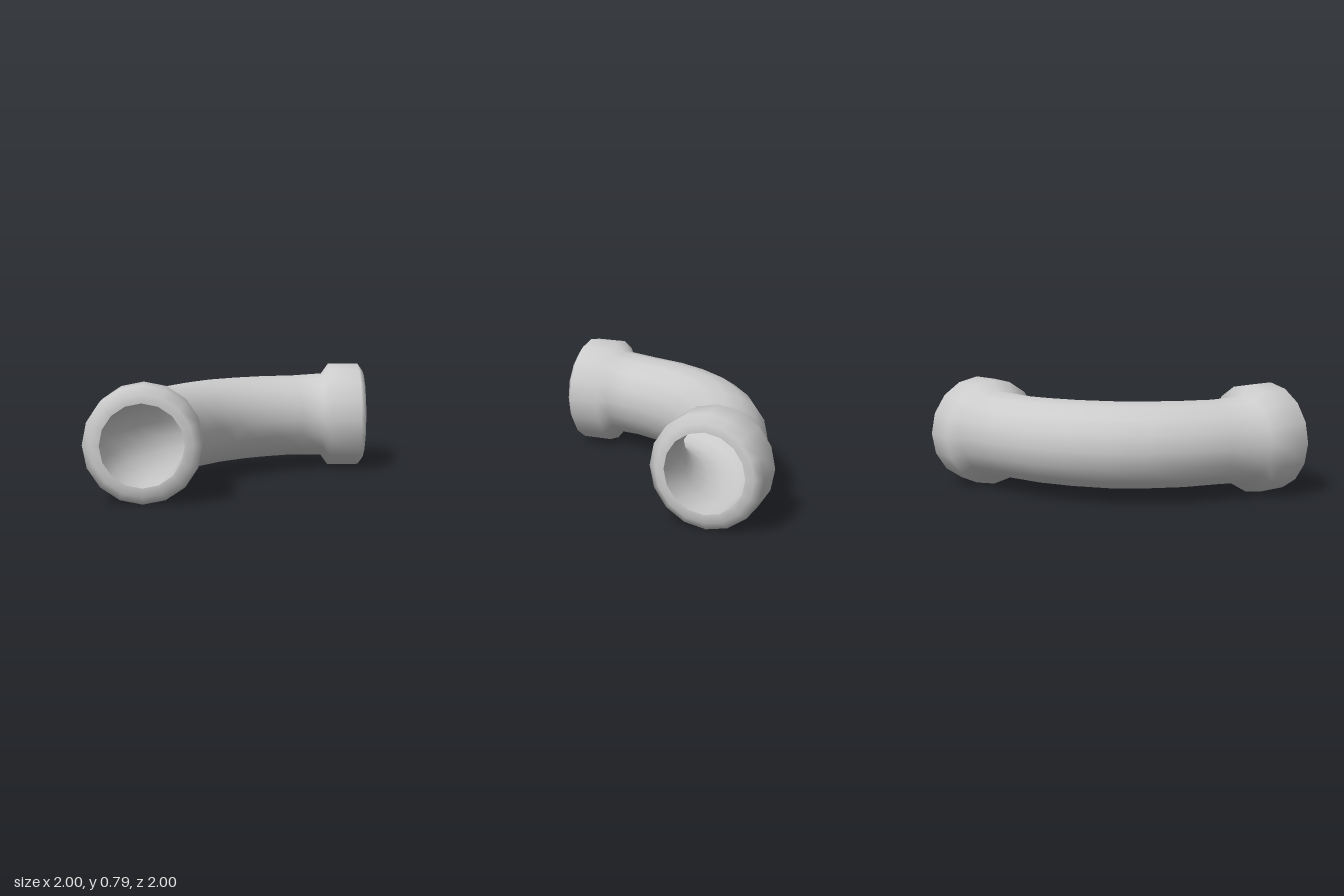
import * as THREE from 'three';

const SIDES = 16;
const AXIS = 0.605; // distance of each end's axis from the middle
const MID_Y = 0.395;

// Cross-sections [x, z, turn in degrees, radius], from the front end to mid-bend.
const collar = [
  [-AXIS, 0.995, 0, 0.28],
  [-AXIS, 0.995, 0, 0.34],
  [-AXIS, 0.955, 0, 0.395],
  [-AXIS, 0.73, 0, 0.395],
];
const bend = [
  [-0.6, 0.675, 0, 0.318],
  [-0.54, 0.45, 14.5, 0.308],
  [-0.455, 0.215, 26, 0.311],
  [-0.34, 0.01, 35, 0.312],
  [-0.185, -0.185, 45, 0.313],
];

// The second half mirrors the first across the diagonal plane x = z.
function mirrored(half) {
  const rest = half.slice(0, -1).reverse().map(([x, z, turn, r]) => [z, x, 90 - turn, r]);
  return [...half, ...rest];
}

// Joins round cross-sections into one smooth skin.
function skin(sections) {
  const positions = [];
  const index = [];
  sections.forEach(([x, z, turn, r], i) => {
    const a = THREE.MathUtils.degToRad(turn);
    for (let j = 0; j < SIDES; j++) {
      const phi = (j / SIDES) * Math.PI * 2;
      const side = r * Math.cos(phi);
      positions.push(x + side * Math.cos(a), MID_Y + r * Math.sin(phi), z + side * Math.sin(a));
      if (i === sections.length - 1) continue;
      const p = i * SIDES + j;
      const q = i * SIDES + ((j + 1) % SIDES);
      index.push(p, p + SIDES, q, q, p + SIDES, q + SIDES);
    }
  });
  const geometry = new THREE.BufferGeometry();
  geometry.setAttribute('position', new THREE.Float32BufferAttribute(positions, 3));
  geometry.setIndex(index);
  geometry.computeVertexNormals();
  return geometry;
}

export function createModel() {
  const group = new THREE.Group();
  group.name = 'pipeElbow';
  const material = new THREE.MeshStandardMaterial({ color: 0xcccccc });

  function add(name, sections) {
    const mesh = new THREE.Mesh(skin(sections), material);
    mesh.name = name;
    group.add(mesh);
  }

  // Outer wall with a chamfered collar and flat rim at each end
  add('outerPipe', mirrored([...collar, ...bend]));

  // Hollow bore following the bend; reversed order makes it face inwards
  const boreHalf = [collar[0], ...bend.map(([x, z, turn]) => [x, z, turn, 0.28])];
  add('innerBore', mirrored(boreHalf).reverse());

  return group;
}
